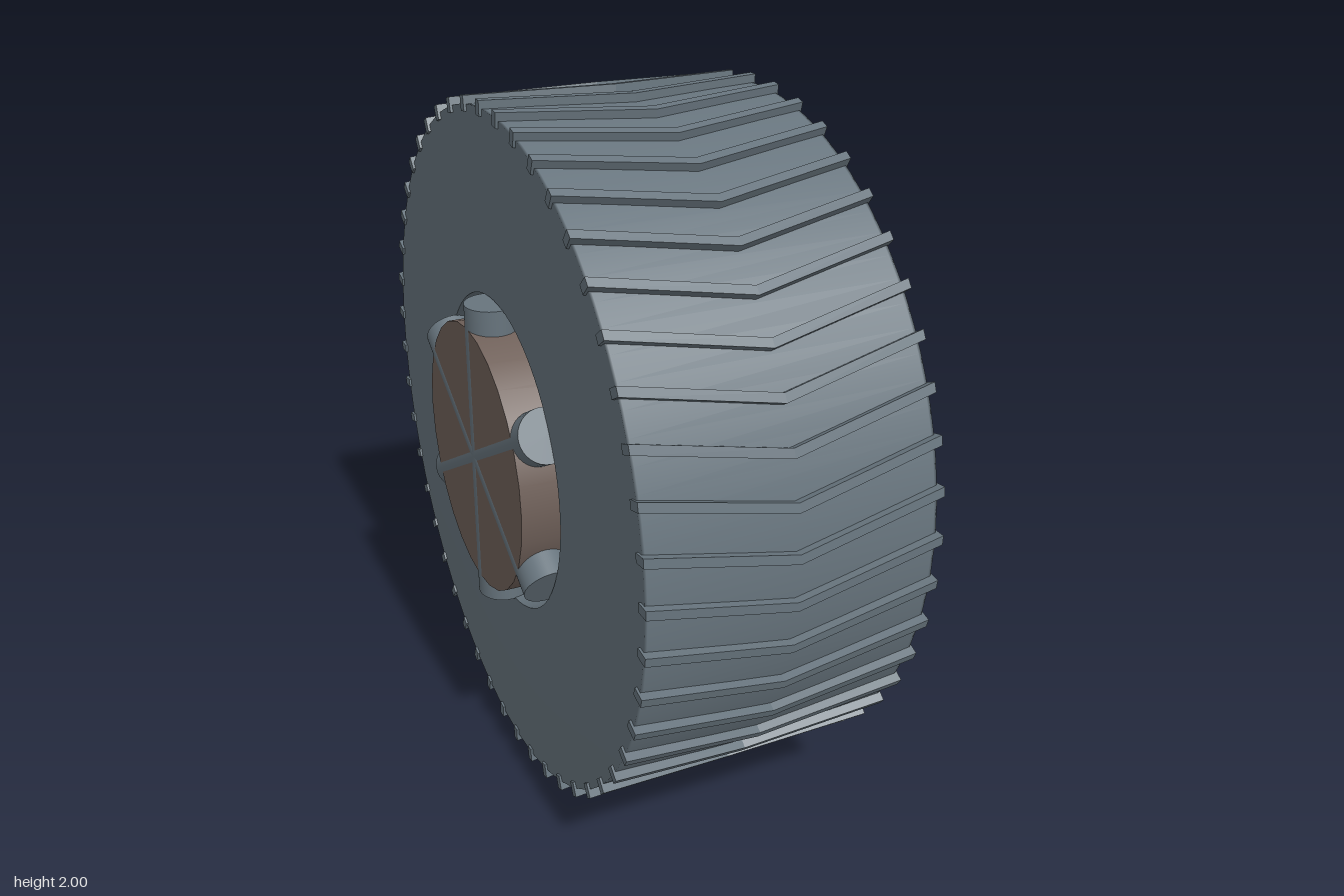
import * as THREE from 'three';

export function createModel() {
  const rubber = new THREE.MeshStandardMaterial({ color: 0x67747d });
  rubber.name = 'slate grey';
  const rust = new THREE.MeshStandardMaterial({ color: 0x70615a });
  rust.name = 'dull brown';

  // The whole wheel turns about the x axis, one unit above the ground
  const wheel = new THREE.Group();
  wheel.name = 'wheel';
  wheel.position.y = 1;

  const add = (name, geometry, material, x = 0, turn = 0) => {
    const mesh = new THREE.Mesh(geometry, material);
    mesh.name = name;
    mesh.position.x = x;
    mesh.rotation.x = turn;
    wheel.add(mesh);
    return mesh;
  };
  // Profile points are [radius, x]
  const lathe = (points, segments) =>
    new THREE.LatheGeometry(points.map(([r, x]) => new THREE.Vector2(r, x)), segments)
      .rotateZ(-Math.PI / 2);

  const SHIFT = -0.0075;
  const HALF = 0.4;
  const HOLE = 0.46;
  const RADIUS = 0.976;

  // Tyre: smooth shoulders between flat sides and tread, and the wall of the hole
  add('tyre', lathe([
    [HOLE, -HALF], [RADIUS, -HALF], [RADIUS, -HALF + 0.008],
    [RADIUS, HALF - 0.008], [RADIUS, HALF], [HOLE, HALF],
  ], 96), rubber, SHIFT);
  add('tyreHole', lathe([[HOLE, HALF], [HOLE, -HALF]], 96), rubber, SHIFT);

  // Tread: chevron bars repeated around the tyre
  const BARS = 48, w = 0.407, rise = 0.086, thick = 0.026;
  const chevron = new THREE.Shape([
    [-w, rise], [0, 0], [w, rise], [w, rise + thick], [0, thick], [-w, rise + thick],
  ].map(([x, y]) => new THREE.Vector2(x, y - (rise + thick) / 2)));
  const bar = new THREE.ExtrudeGeometry(chevron, { depth: 0.042, bevelEnabled: false })
    .translate(0, 0, 0.956);
  for (let i = 0; i < BARS; i++) {
    add('treadBar', bar, rubber, SHIFT, (i / BARS) * Math.PI * 2);
  }

  // Hub drum
  add('hub', new THREE.CylinderGeometry(0.392, 0.392, 0.974, 28).rotateZ(-Math.PI / 2), rust, -0.002);

  // Axle block whose corners show behind the hub rim
  add('axleBlock', new THREE.BoxGeometry(0.6, 0.66, 0.53), rubber, SHIFT);

  // Three crossing spokes near each end of the hub
  const spoke = new THREE.CylinderGeometry(0.075, 0.075, 0.912, 32);
  for (const x of [-0.4155, 0.4]) {
    for (let i = 0; i < 3; i++) add('spoke', spoke, rubber, x, (i * Math.PI) / 3);
  }

  const model = new THREE.Group();
  model.name = 'treadedWheel';
  model.add(wheel);
  return model;
}
